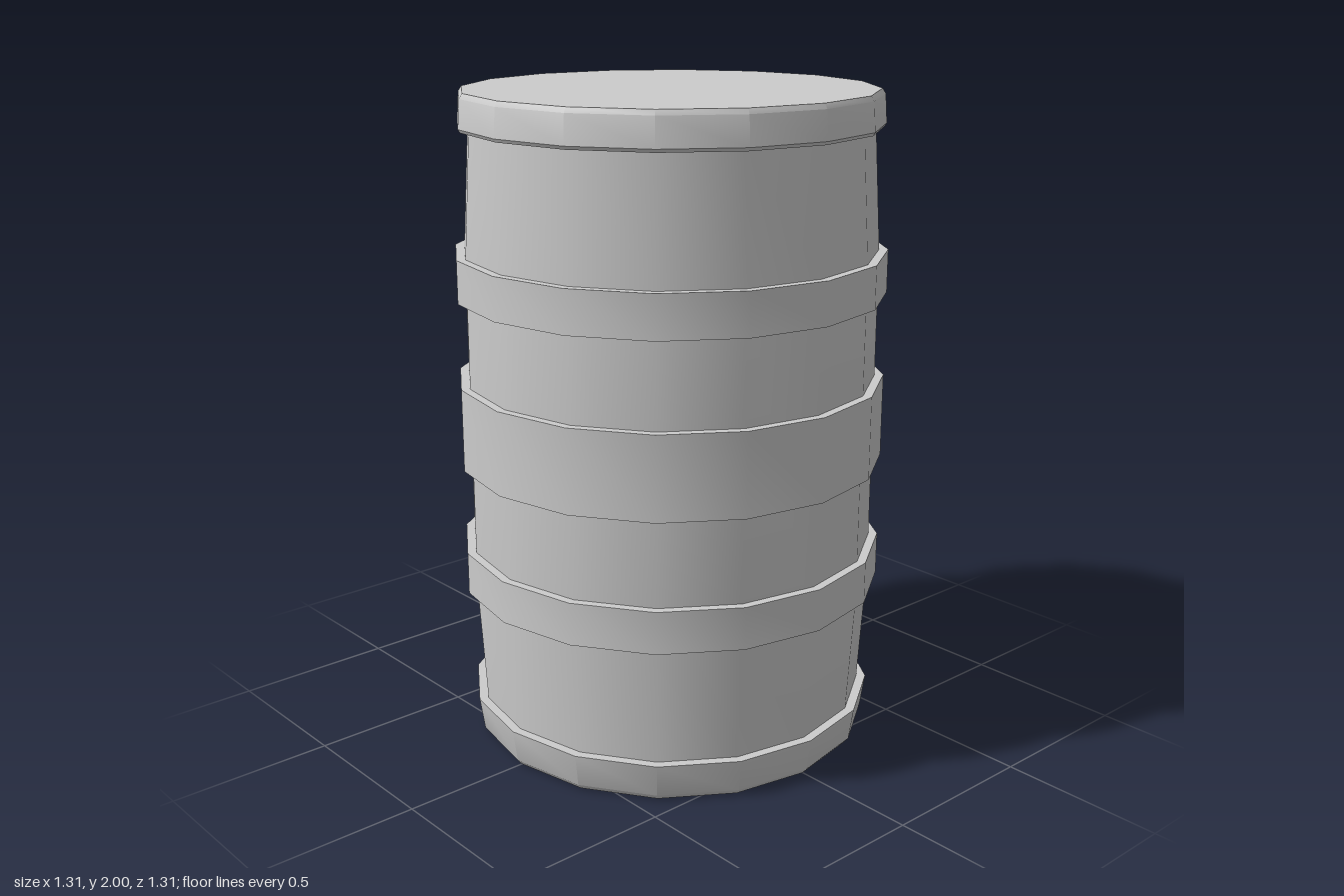
import * as THREE from 'three';
import { toCreasedNormals } from 'three/addons/utils/BufferGeometryUtils.js';

const SIDES = 16;
const material = new THREE.MeshStandardMaterial({ color: 0xcccccc });

// Revolve an outward-facing profile [radius, y], listed from bottom to top.
function turned(name, profile) {
  const points = profile.map(([r, y]) => new THREE.Vector2(r, y));
  const geometry = toCreasedNormals(new THREE.LatheGeometry(points, SIDES), 0.55);
  const mesh = new THREE.Mesh(geometry, material);
  mesh.name = name;
  return mesh;
}

export function createModel() {
  const barrel = new THREE.Group();
  barrel.name = 'barrel';

  // Staves: straight in the middle, tapering toward both ends
  barrel.add(turned('staves', [
    [0.605, 0.1], [0.628, 0.49], [0.628, 1.52], [0.605, 1.9],
  ]));

  // Three raised hoops around the belly
  const hoops = [
    ['lowerHoop', 0.485, 0.615],
    ['middleHoop', 0.88, 1.135],
    ['upperHoop', 1.395, 1.525],
  ];
  for (const [name, y0, y1] of hoops) {
    barrel.add(turned(name, [[0.6, y0], [0.655, y0], [0.655, y1], [0.6, y1]]));
  }

  // End rims with a small chamfer, closed by flat heads
  barrel.add(turned('bottomRim', [
    [0, 0], [0.605, 0], [0.62, 0.018], [0.635, 0.12], [0.59, 0.12],
  ]));
  barrel.add(turned('topRim', [
    [0.59, 1.885], [0.63, 1.89], [0.636, 1.9], [0.63, 1.985], [0.62, 2], [0, 2],
  ]));

  return barrel;
}
